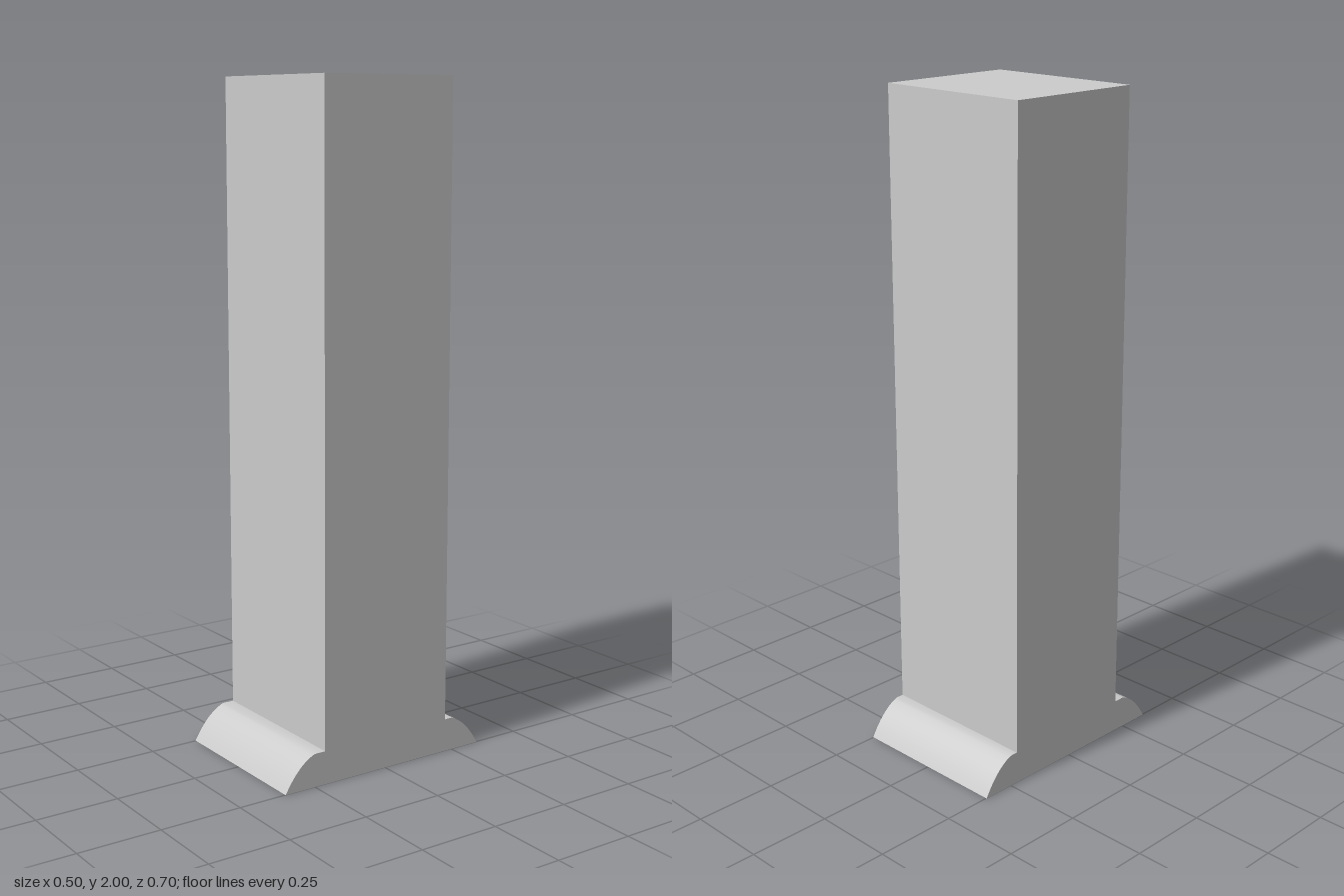
import * as THREE from 'three';
import { toCreasedNormals } from 'three/addons/utils/BufferGeometryUtils.js';

export function createModel() {
  const group = new THREE.Group();
  group.name = 'pillar';
  const width = 0.504, front = 0.214, back = -0.225, toe = 0.35, footTop = 0.1, height = 2;

  // Side profile (z across, y up): straight shaft with a rounded toe at front and back
  const profile = new THREE.Shape();
  profile.moveTo(-toe, 0);
  profile.lineTo(toe, 0);
  profile.quadraticCurveTo(0.305, 0.08, 0.25, footTop);
  profile.lineTo(front, footTop);
  profile.lineTo(front, height);
  profile.lineTo(back, height);
  profile.lineTo(back, footTop);
  profile.lineTo(-0.25, footTop);
  profile.quadraticCurveTo(-0.305, 0.08, -toe, 0);

  // Sweep the profile across the width
  const geometry = new THREE.ExtrudeGeometry(profile, { depth: width, bevelEnabled: false, curveSegments: 12 });
  geometry.translate(0, 0, -width / 2);
  geometry.rotateY(-Math.PI / 2);

  const pillar = new THREE.Mesh(
    toCreasedNormals(geometry, 0.6),
    new THREE.MeshStandardMaterial({ color: 0xcccccc })
  );
  pillar.name = 'shaftWithFlaredFoot';
  group.add(pillar);
  return group;
}
